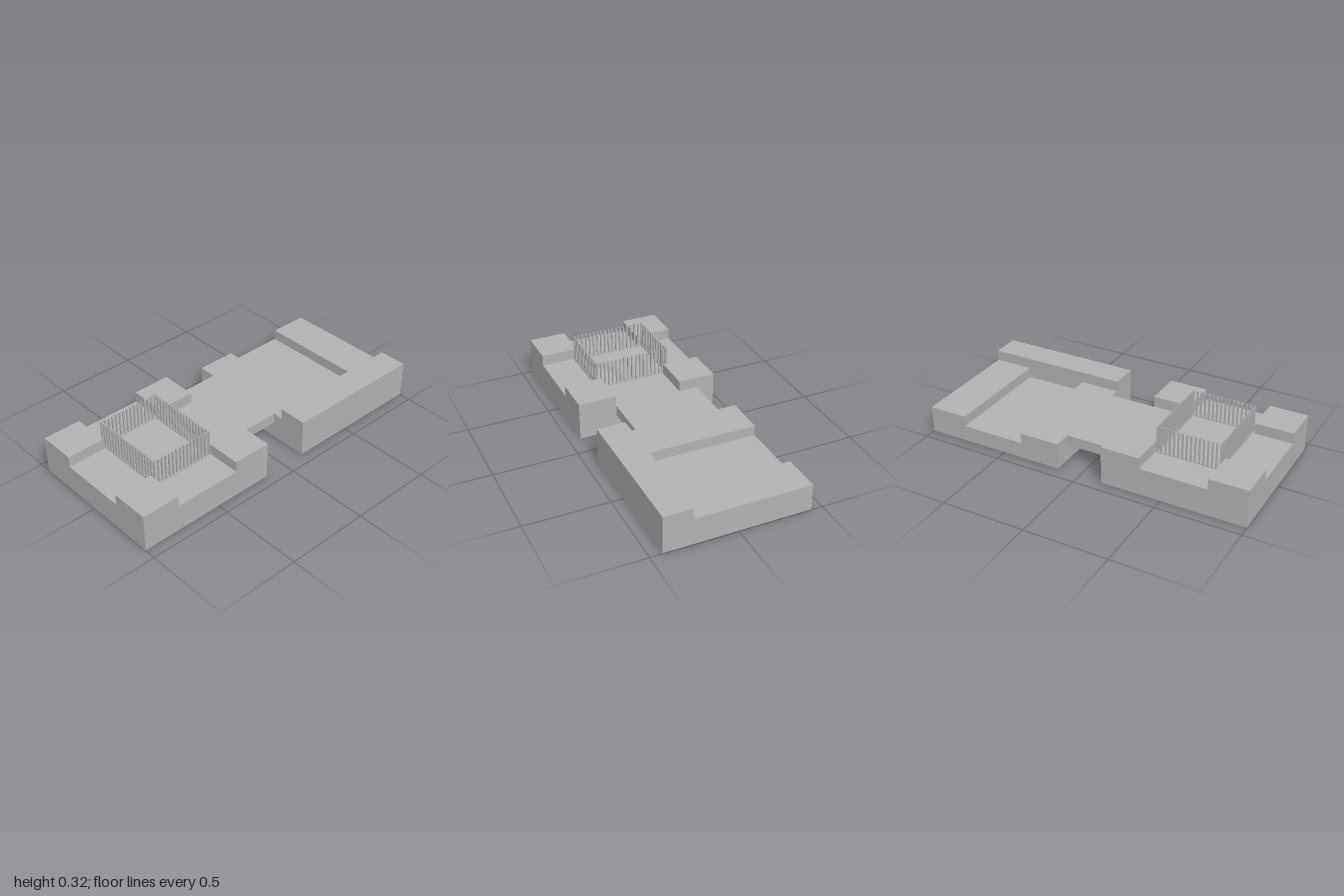
import * as THREE from 'three';

export function createModel() {
  const model = new THREE.Group();
  model.name = 'terrainTiles';
  const grey = new THREE.MeshStandardMaterial({ color: 0xb2b2b2 });
  grey.name = 'plain grey';

  // Box given by its limits on each axis
  function block(name, x0, x1, y0, y1, z0, z1, parent = model) {
    const mesh = new THREE.Mesh(new THREE.BoxGeometry(x1 - x0, y1 - y0, z1 - z0), grey);
    mesh.position.set((x0 + x1) / 2, (y0 + y1) / 2, (z0 + z1) / 2);
    mesh.name = name;
    parent.add(mesh);
  }

  const W = 0.43, FLOOR = 0.163, TOP = 0.228, LOW = 0.1, GAP = 0.138;

  // Front tile: cross-shaped path between four raised corners
  block('frontBase', -W, W, 0, FLOOR, GAP, 1);
  for (const [z0, z1] of [[GAP, 0.37], [0.77, 1]]) {
    block('cornerBlock', -W, -0.205, FLOOR, TOP, z0, z1);
    block('cornerBlock', 0.203, W, FLOOR, TOP, z0, z1);
  }

  // Link between the two tiles
  block('bridge', -0.32, 0.2, LOW, FLOOR, -GAP, GAP);

  // Back tile: a channel between two banks, with a tall wall along one side
  const B = 0.004, WALL = 0.26;
  block('channelBed', -W, WALL, B, LOW, -1, -GAP);
  block('backBank', -W, WALL, LOW, FLOOR, -1, -0.765);
  block('nearBank', -W, WALL, LOW, FLOOR, -0.38, -GAP);
  block('sideWall', WALL, W, B, TOP, -1, -GAP);

  // Fence: a thin kerb with a rectangle of upright posts
  const fence = new THREE.Group();
  fence.name = 'fence';
  model.add(fence);
  const X0 = -0.232, X1 = 0.222, Z0 = 0.38, Z1 = 0.755, H = 0.005;
  const KERB = 0.169, POST = 0.325, NX = 18, NZ = 15;
  for (const z of [Z0, Z1]) block('kerb', X0 - H, X1 + H, FLOOR, KERB, z - H, z + H, fence);
  for (const x of [X0, X1]) block('kerb', x - H, x + H, FLOOR, KERB, Z0 + H, Z1 - H, fence);
  const post = (x, z) => block('fencePost', x - H, x + H, KERB, POST, z - H, z + H, fence);
  for (let i = 0; i <= NX; i++) {
    const x = X0 + ((X1 - X0) * i) / NX;
    post(x, Z0);
    post(x, Z1);
  }
  for (let i = 1; i < NZ; i++) {
    const z = Z0 + ((Z1 - Z0) * i) / NZ;
    post(X0, z);
    post(X1, z);
  }

  return model;
}
